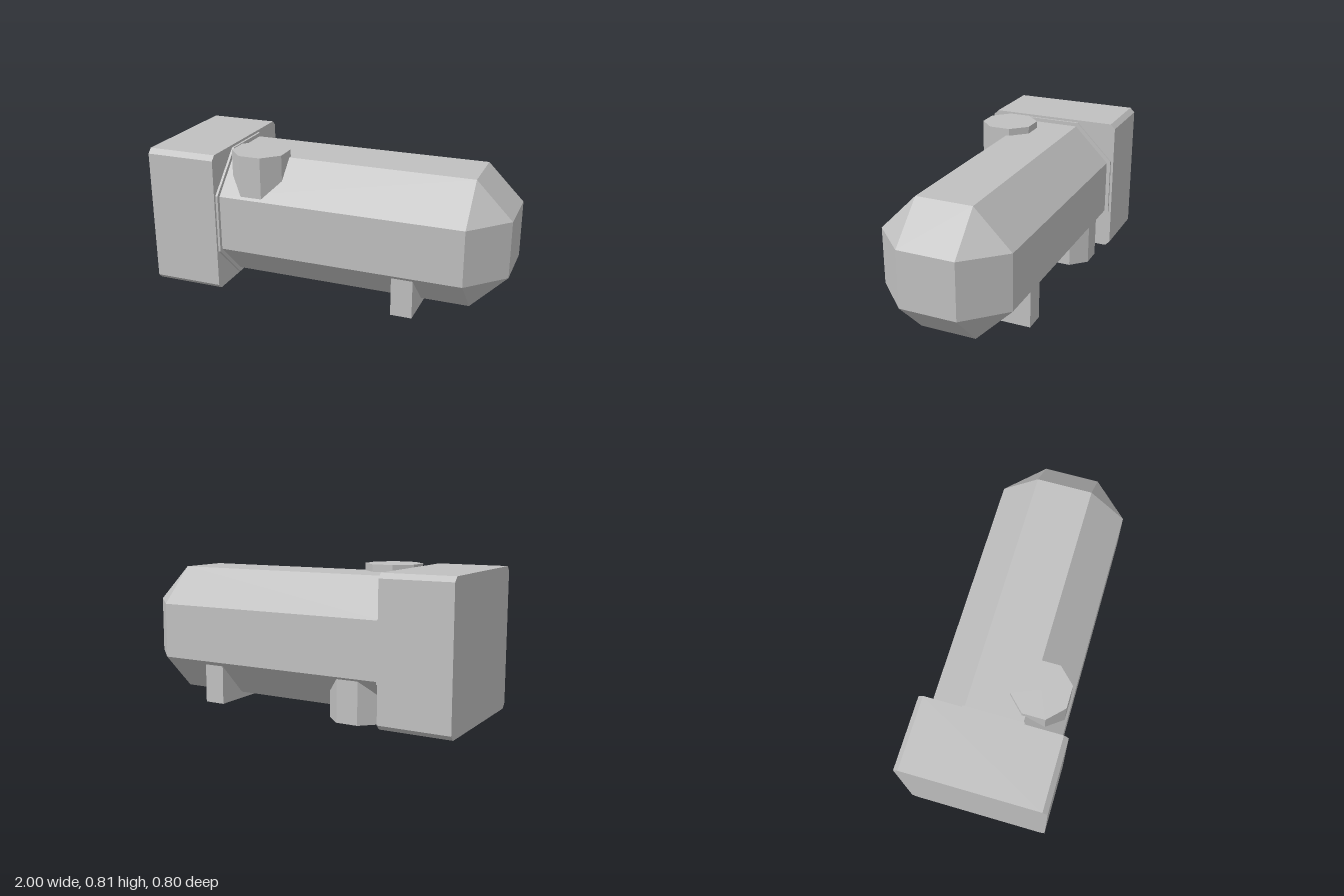
import * as THREE from 'three';
import { ConvexGeometry } from 'three/addons/geometries/ConvexGeometry.js';

const AXIS_Y = 0.407; // height of the long axis

// Eight corners of a square section (half sizes hy, hz) with cut corners, at position x
function section(x, hy, hz, cut) {
  const points = [];
  for (const sy of [-1, 1]) {
    for (const sz of [-1, 1]) {
      points.push(new THREE.Vector3(x, AXIS_Y + sy * hy, sz * (hz - cut)));
      points.push(new THREE.Vector3(x, AXIS_Y + sy * (hy - cut), sz * hz));
    }
  }
  return points;
}

export function createModel() {
  const group = new THREE.Group();
  const grey = new THREE.MeshStandardMaterial({ color: 0xc0c0c0 });
  grey.name = 'lightGrey';

  function add(name, geometry, x = 0, y = 0, z = 0) {
    const mesh = new THREE.Mesh(geometry, grey);
    mesh.name = name;
    mesh.position.set(x, y, z);
    group.add(mesh);
  }

  // End block with narrow bevels along its length
  add('endBlock', new ConvexGeometry([
    ...section(-1, 0.399, 0.4, 0.027),
    ...section(-0.6, 0.399, 0.4, 0.027),
  ]));

  // Thin octagonal collar between block and body
  add('collar', new ConvexGeometry([
    ...section(-0.61, 0.385, 0.385, 0.219),
    ...section(-0.587, 0.385, 0.385, 0.219),
  ]));

  // Octagonal body whose nose tapers to a square face
  const nose = [];
  for (const sy of [-1, 1]) {
    for (const sz of [-1, 1]) nose.push(new THREE.Vector3(1, AXIS_Y + sy * 0.159, sz * 0.159));
  }
  add('body', new ConvexGeometry([
    ...section(-0.6, 0.363, 0.363, 0.206),
    ...section(0.8, 0.363, 0.363, 0.206),
    ...nose,
  ]));

  // Octagonal ports: one upward at the front, one downward at the back
  const port = new THREE.CylinderGeometry(0.15 / Math.cos(Math.PI / 8), 0.15 / Math.cos(Math.PI / 8), 0.4, 8)
    .rotateY(Math.PI / 8).toNonIndexed();
  port.computeVertexNormals();
  add('topPort', port, -0.4, 0.611, 0.2);
  add('bottomPort', port, -0.4, 0.202, -0.2);

  // Crosswise foot under the nose end
  add('foot', new THREE.BoxGeometry(0.12, 0.222, 0.68), 0.47, 0.119, 0);

  return group;
}
